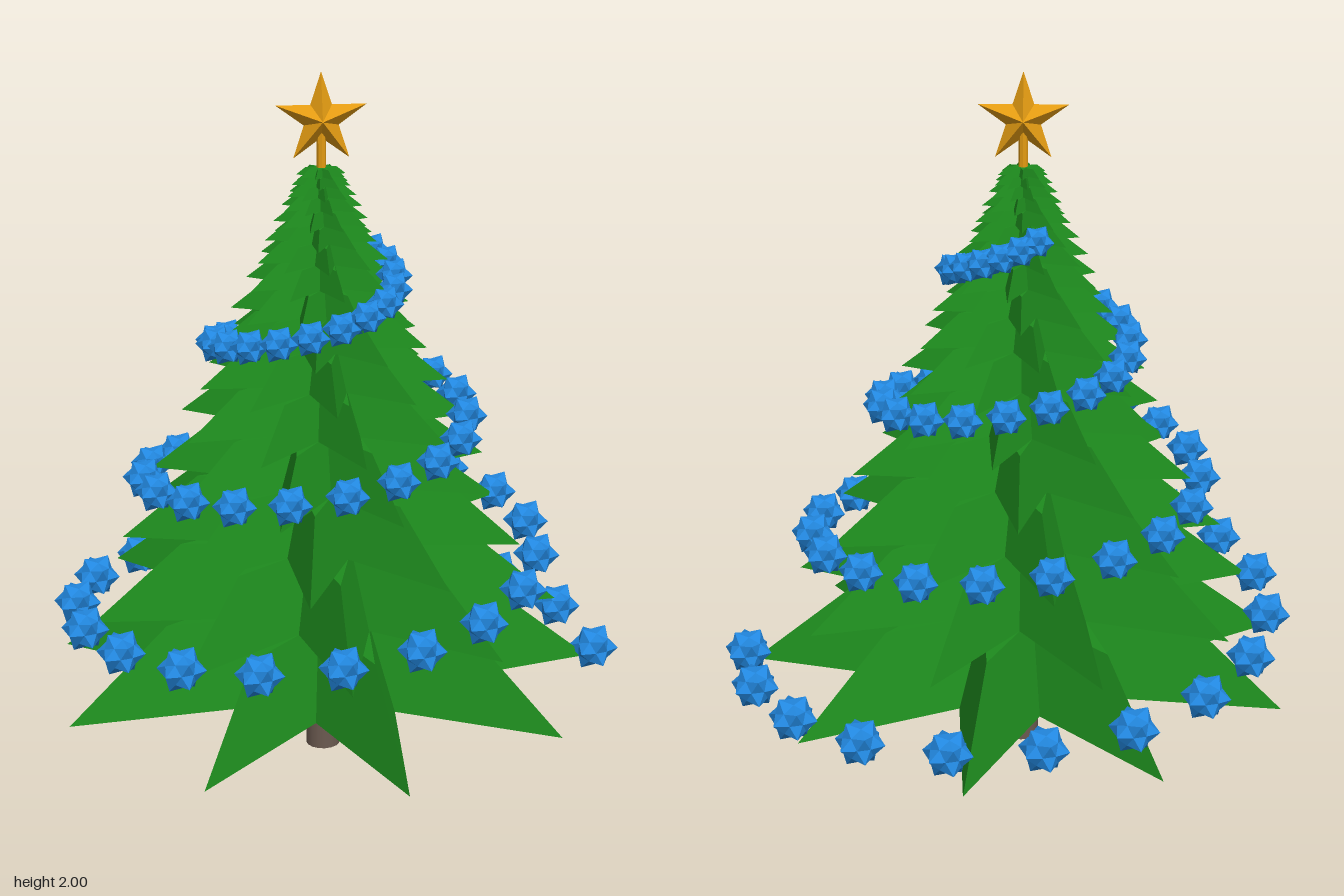
import * as THREE from 'three';

const AXIS_X = -0.055, AXIS_Z = 0.02;

const paint = (color) => new THREE.MeshStandardMaterial({ color, flatShading: true });

// Non-indexed geometry from a list of triangles, each three Vector3 corners
function fromTriangles(tris) {
  const geo = new THREE.BufferGeometry().setFromPoints(tris.flat());
  geo.computeVertexNormals();
  return geo;
}

// One tier of branches: a nine-pointed star tapering upwards, closed at both ends
function tierGeometry(radius, height, turn) {
  const points = 9, n = points * 2, valley = 0.43, taper = 0.62;
  const corner = (i, scale, y) => {
    const a = turn + (i / n) * Math.PI * 2;
    const r = radius * scale * (i % 2 ? valley : 1);
    return new THREE.Vector3(Math.cos(a) * r, y, Math.sin(a) * r);
  };
  const low = new THREE.Vector3(), high = new THREE.Vector3(0, height, 0), tris = [];
  for (let i = 0; i < n; i++) {
    const b0 = corner(i, 1, 0), b1 = corner(i + 1, 1, 0);
    const t0 = corner(i, taper, height), t1 = corner(i + 1, taper, height);
    tris.push([b0, t0, t1], [b0, t1, b1], [low, b0, b1], [high, t1, t0]);
  }
  return fromTriangles(tris);
}

// Five-pointed star with a raised centre on both faces
function starGeometry(outer, inner, depth) {
  const corner = (i) => {
    const a = Math.PI / 2 + (i * Math.PI) / 5, r = i % 2 ? inner : outer;
    return new THREE.Vector3(Math.cos(a) * r, Math.sin(a) * r, 0);
  };
  const front = new THREE.Vector3(0, 0, depth), back = new THREE.Vector3(0, 0, -depth), tris = [];
  for (let i = 0; i < 10; i++) {
    tris.push([front, corner(i), corner(i + 1)], [back, corner(i + 1), corner(i)]);
  }
  return fromTriangles(tris);
}

// Bauble of unit radius: a dodecahedron with a shallow spike on each face
function baubleGeometry(inner) {
  const pos = new THREE.IcosahedronGeometry(1, 0).toNonIndexed?.().attributes.position;
  const faces = [];
  for (let i = 0; i < pos.count; i += 3) {
    const v = [0, 1, 2].map((k) => new THREE.Vector3().fromBufferAttribute(pos, i + k));
    const mid = v[0].clone().add(v[1]).add(v[2]).setLength(inner);
    faces.push({ v, mid });
  }
  const tris = [], normal = new THREE.Vector3(), e = new THREE.Vector3();
  faces.forEach((f, i) => faces.slice(i + 1).forEach((g) => {
    const shared = f.v.filter((p) => g.v.some((q) => q.distanceTo(p) < 0.01));
    if (shared.length !== 2) return;
    for (const tip of shared) {
      normal.subVectors(f.mid, tip).cross(e.subVectors(g.mid, tip));
      tris.push(normal.dot(tip) > 0 ? [tip, f.mid, g.mid] : [tip, g.mid, f.mid]);
    }
  }));
  return fromTriangles(tris);
}

export function createModel() {
  const model = new THREE.Group();
  model.name = 'decoratedTree';
  const add = (parent, name, geometry, material, x, y, z) => {
    const mesh = new THREE.Mesh(geometry, material);
    mesh.name = name;
    mesh.position.set(x, y, z);
    parent.add(mesh);
    return mesh;
  };

  // Trunk
  const bark = new THREE.MeshStandardMaterial({ color: 0x6b5a50 });
  add(model, 'trunk', new THREE.CylinderGeometry(0.048, 0.05, 0.3, 16), bark, AXIS_X, 0.15, AXIS_Z);

  // Branch tiers: each smaller, shorter and turned ten degrees further
  const branches = new THREE.Group();
  branches.name = 'branches';
  model.add(branches);
  const green = paint(0x1e8c1e);
  let y = 0.233;
  for (let i = 0; i < 16; i++) {
    const shrink = 0.85 ** i, height = 0.244 * shrink;
    const tier = tierGeometry(0.79 * shrink, height, THREE.MathUtils.degToRad(10 * i));
    add(branches, 'branchTier', tier, green, AXIS_X, y, AXIS_Z);
    y += height;
  }

  // Star on its stem
  const gold = paint(0xe39b12);
  add(model, 'starStem', new THREE.CylinderGeometry(0.013, 0.013, 0.13, 8), gold, AXIS_X, 1.775, AXIS_Z);
  add(model, 'topStar', starGeometry(0.13, 0.05, 0.042), gold, AXIS_X, 1.87, AXIS_Z);

  // Garland: baubles on a spiral that closes in as it climbs
  const garland = new THREE.Group();
  garland.name = 'garland';
  model.add(garland);
  const blue = paint(0x2288e0), ball = baubleGeometry(0.72);
  const count = 63, perTurn = 18.8;
  for (let i = 0; i < count; i++) {
    const t = i / perTurn, a = t * Math.PI * 2, r = 0.81 - 0.205 * t;
    const bauble = add(garland, 'bauble', ball, blue,
      AXIS_X + Math.cos(a) * r, 0.26 + 0.395 * t, AXIS_Z - Math.sin(a) * r);
    bauble.scale.setScalar(0.073 - 0.007 * t);
    bauble.rotation.y = 0.3;
  }
  return model;
}
